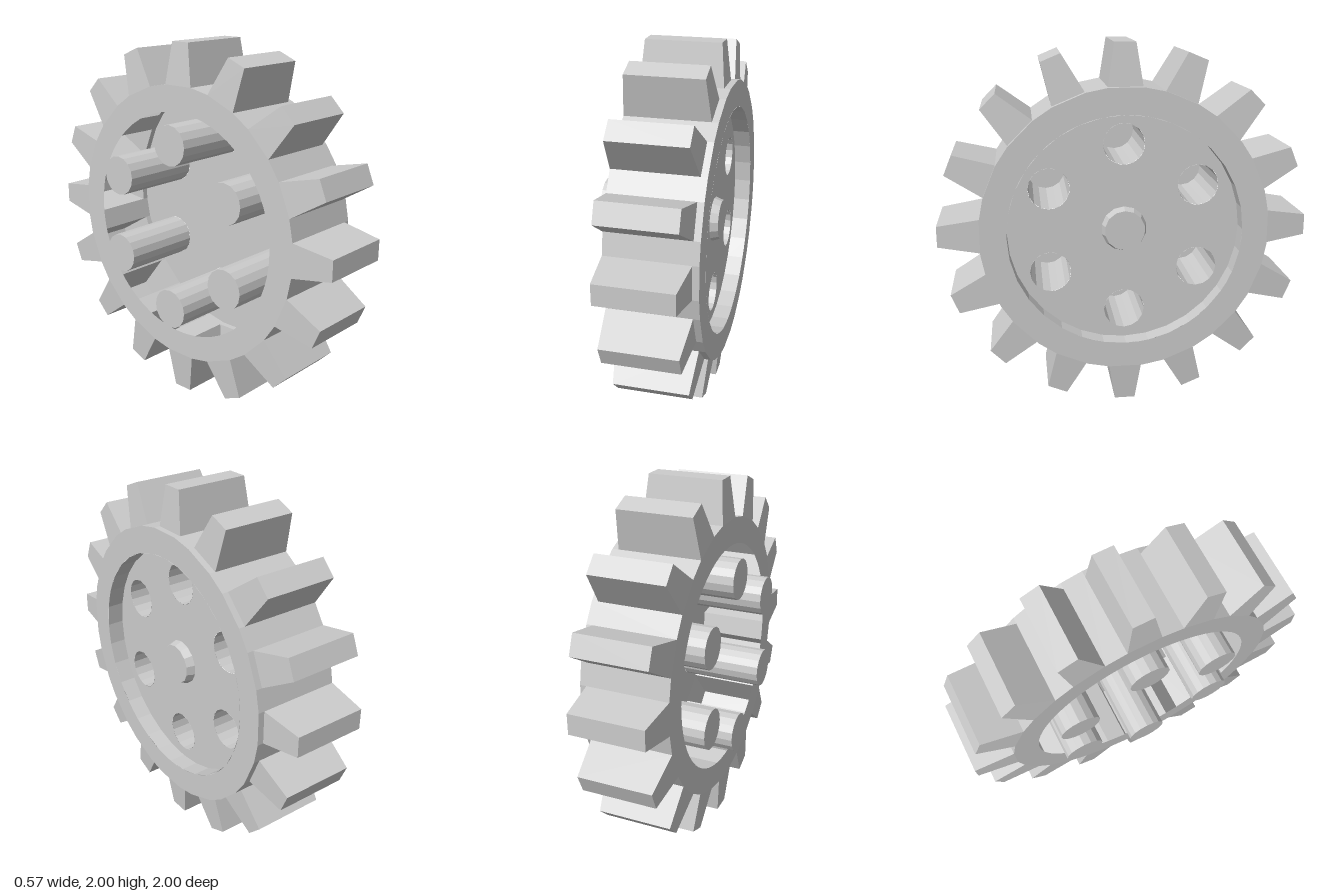
import * as THREE from 'three';

const TEETH = 16, PITCH = (Math.PI * 2) / TEETH;
const RIM = 0.78, BORE = 0.635, TIP = 1.0;
const HALF_BASE = 0.0925, HALF_TIP = 0.057;
const HALF_ANGLE = Math.asin(HALF_BASE / RIM);
const BACK = -0.2, TOOTH_FRONT = 0.25, FRONT = 0.285, PLATE = 0.19;
const PEG_RING = 0.467, PEG_R = 0.112;

const material = new THREE.MeshStandardMaterial({
  color: 0xcccccc, flatShading: true, side: THREE.DoubleSide,
});

function add(parent, name, geometry) {
  const mesh = new THREE.Mesh(geometry, material);
  mesh.name = name;
  parent.add(mesh);
  return mesh;
}

// Geometry from four-cornered faces, corners counter-clockwise from outside
function quads(faces) {
  const pos = [];
  for (const [a, b, c, d] of faces) pos.push(...a, ...b, ...c, ...a, ...c, ...d);
  const g = new THREE.BufferGeometry();
  g.setAttribute('position', new THREE.Float32BufferAttribute(pos, 3));
  g.computeVertexNormals();
  return g;
}

const polar = (r, a, z = 0) => [r * Math.cos(a), r * Math.sin(a), z];

function circleHole(x, y, r) {
  return new THREE.Path().absarc(x, y, r, 0, Math.PI * 2, true);
}

// Flat ring whose outer corners meet the tooth roots
function rimRing() {
  const pts = [];
  for (let i = 0; i < TEETH; i++) {
    for (const s of [-1, 1]) {
      const [x, y] = polar(RIM, i * PITCH + s * HALF_ANGLE);
      pts.push(new THREE.Vector2(x, y));
    }
  }
  const shape = new THREE.Shape(pts);
  shape.holes.push(circleHole(0, 0, BORE));
  return new THREE.ShapeGeometry(shape, 32);
}

// Hollow tooth pointing along +x, open at its root
function toothGeometry() {
  const root = RIM * Math.cos(HALF_ANGLE);
  const section = (r, h, z0, z1) => [[r, -h, z0], [r, h, z0], [r, h, z1], [r, -h, z1]];
  const b = section(root, HALF_BASE, BACK, TOOTH_FRONT);
  const t = section(TIP, HALF_TIP, BACK + 0.02, TOOTH_FRONT - 0.02);
  const faces = [t];
  for (let i = 0; i < 4; i++) {
    const j = (i + 1) % 4;
    faces.push([b[i], b[j], t[j], t[i]]);
  }
  return quads(faces);
}

// Open tube along z between two depths
function tube(rBack, rFront, z0, z1, sides) {
  return new THREE.CylinderGeometry(rFront, rBack, z1 - z0, sides, 1, true)
    .rotateX(Math.PI / 2).translate(0, 0, (z0 + z1) / 2);
}

export function createModel() {
  const model = new THREE.Group();
  model.name = 'gearWheel';

  // Built with the axle along z, then turned to lie along x
  const gear = new THREE.Group();
  gear.name = 'gear';
  gear.rotation.y = Math.PI / 2;
  gear.position.y = 1;
  model.add(gear);

  // Outer wall: strips between the teeth, plus a full lip at the front
  const wall = [];
  const strip = (a0, a1, z0, z1) => wall.push(
    [polar(RIM, a0, z0), polar(RIM, a1, z0), polar(RIM, a1, z1), polar(RIM, a0, z1)]);
  for (let i = 0; i < TEETH; i++) {
    const a = i * PITCH;
    strip(a + HALF_ANGLE, a + PITCH - HALF_ANGLE, BACK, FRONT);
    strip(a - HALF_ANGLE, a + HALF_ANGLE, TOOTH_FRONT, FRONT);
  }
  add(gear, 'outerWall', quads(wall));

  // Front and back rim faces
  add(gear, 'frontRim', rimRing().translate(0, 0, FRONT));
  add(gear, 'backRim', rimRing().rotateX(Math.PI).translate(0, 0, BACK));

  // Teeth
  const tooth = toothGeometry();
  for (let i = 0; i < TEETH; i++) add(gear, 'tooth', tooth).rotation.z = i * PITCH;

  // Recess wall and the web plate with six holes
  add(gear, 'recessWall', tube(BORE, BORE, PLATE, FRONT, 32));
  const plate = new THREE.Shape().absarc(0, 0, BORE, 0, Math.PI * 2, false);

  // Hollow pegs behind the holes, closed at the back, slightly uneven in length
  const pegEnds = [-0.275, -0.27, -0.29, -0.285, -0.28, -0.275];
  pegEnds.forEach((end, i) => {
    const [x, y] = polar(PEG_RING, Math.PI / 6 + (i * Math.PI) / 3);
    plate.holes.push(circleHole(x, y, PEG_R));
    const peg = new THREE.Group();
    peg.name = 'peg';
    peg.position.set(x, y, 0);
    add(peg, 'pegWall', tube(PEG_R, PEG_R, end, PLATE, 16));
    add(peg, 'pegEnd', new THREE.CircleGeometry(PEG_R, 16).rotateX(Math.PI).translate(0, 0, end));
    gear.add(peg);
  });
  add(gear, 'webPlate', new THREE.ShapeGeometry(plate, 16).translate(0, 0, PLATE));

  // Tapered centre boss
  const bossTop = PLATE + 0.045;
  add(gear, 'bossWall', tube(0.125, 0.11, PLATE, bossTop, 14));
  add(gear, 'bossCap', new THREE.CircleGeometry(0.11, 14).rotateZ(Math.PI / 2).translate(0, 0, bossTop));

  return model;
}
